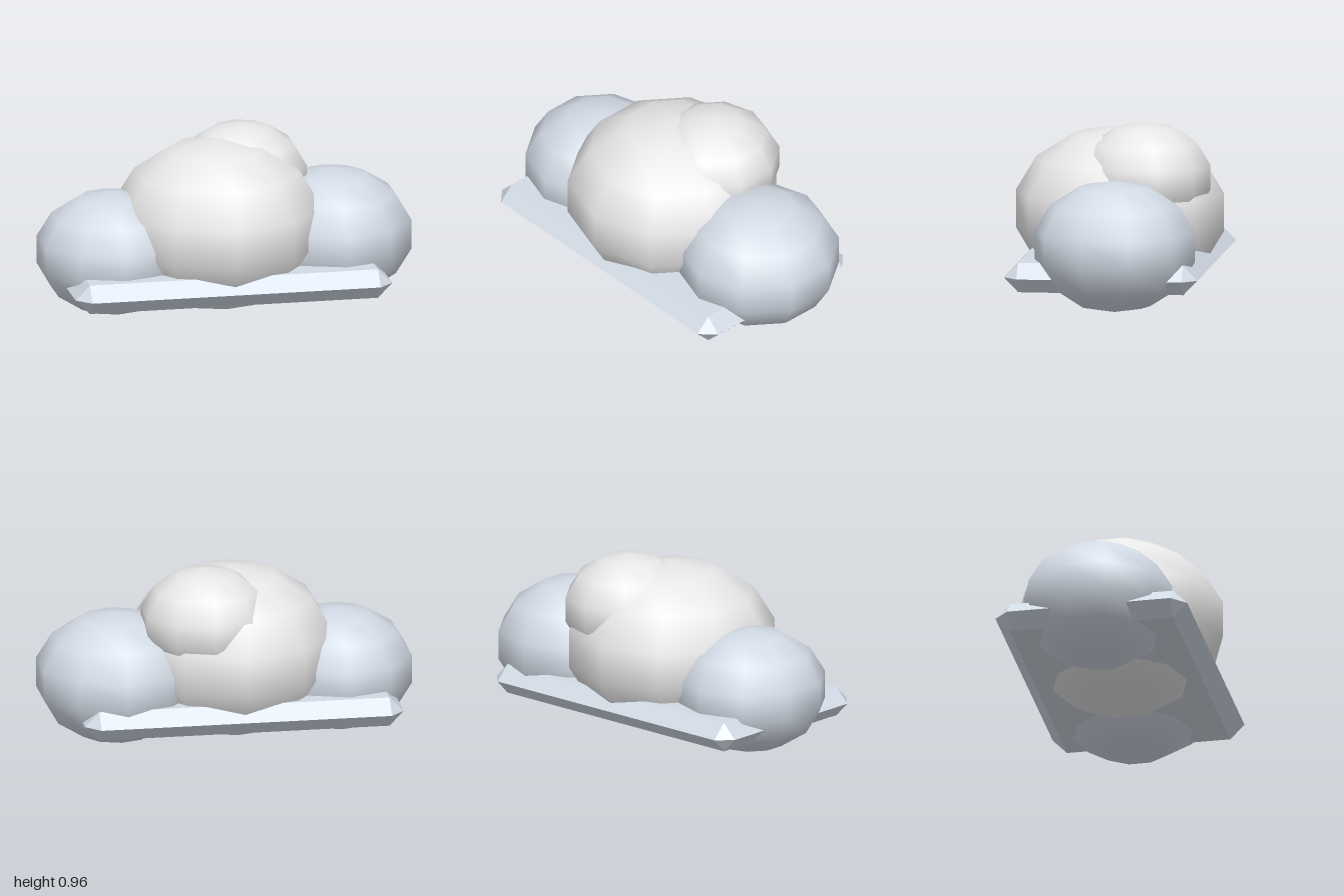
import * as THREE from 'three';
import { ConvexGeometry } from 'three/addons/geometries/ConvexGeometry.js';

const white = new THREE.MeshStandardMaterial({ name: 'cloudWhite', color: 0xeeeeee });
const blueGrey = new THREE.MeshStandardMaterial({ name: 'cloudBlueGrey', color: 0xd2dae5 });

// Squashed low-poly ball with smooth shading and vertices facing front and back
function puff(name, radius, x, y, z, material) {
  const geometry = new THREE.SphereGeometry(radius, 10, 7);
  geometry.rotateY(Math.PI / 2);
  geometry.scale(1, 0.8, 1);
  const mesh = new THREE.Mesh(geometry, material);
  mesh.name = name;
  mesh.position.set(x, y, z);
  return mesh;
}

// Flat slab whose sides are chamfered to a ridge, with cut corners
function chamferedSlab(halfX, halfY, halfZ, bevel) {
  const points = [];
  const add = (x, y, z) => points.push(new THREE.Vector3(x, y, z));
  const ix = halfX - bevel;
  const iz = halfZ - bevel;
  for (const sx of [-1, 1]) {
    for (const sz of [-1, 1]) {
      add(sx * ix, halfY, sz * iz);
      add(sx * ix, -halfY, sz * iz);
      add(sx * halfX, 0, sz * iz);
      add(sx * ix, 0, sz * halfZ);
    }
  }
  return new ConvexGeometry(points);
}

export function createModel() {
  const cloud = new THREE.Group();
  cloud.name = 'cloud';

  // Puffs
  cloud.add(
    puff('centrePuff', 0.574, -0.04, 0.467, 0, white),
    puff('topPuff', 0.363, 0.118, 0.676, -0.155, white),
    puff('leftPuff', 0.442, 0.59, 0.362, -0.055, blueGrey),
    puff('rightPuff', 0.415, -0.615, 0.335, -0.005, blueGrey)
  );

  // Flat underside slab
  const base = new THREE.Mesh(chamferedSlab(0.861, 0.079, 0.521, 0.077), blueGrey);
  base.name = 'base';
  base.position.set(-0.041, 0.206, 0);
  cloud.add(base);

  return cloud;
}
